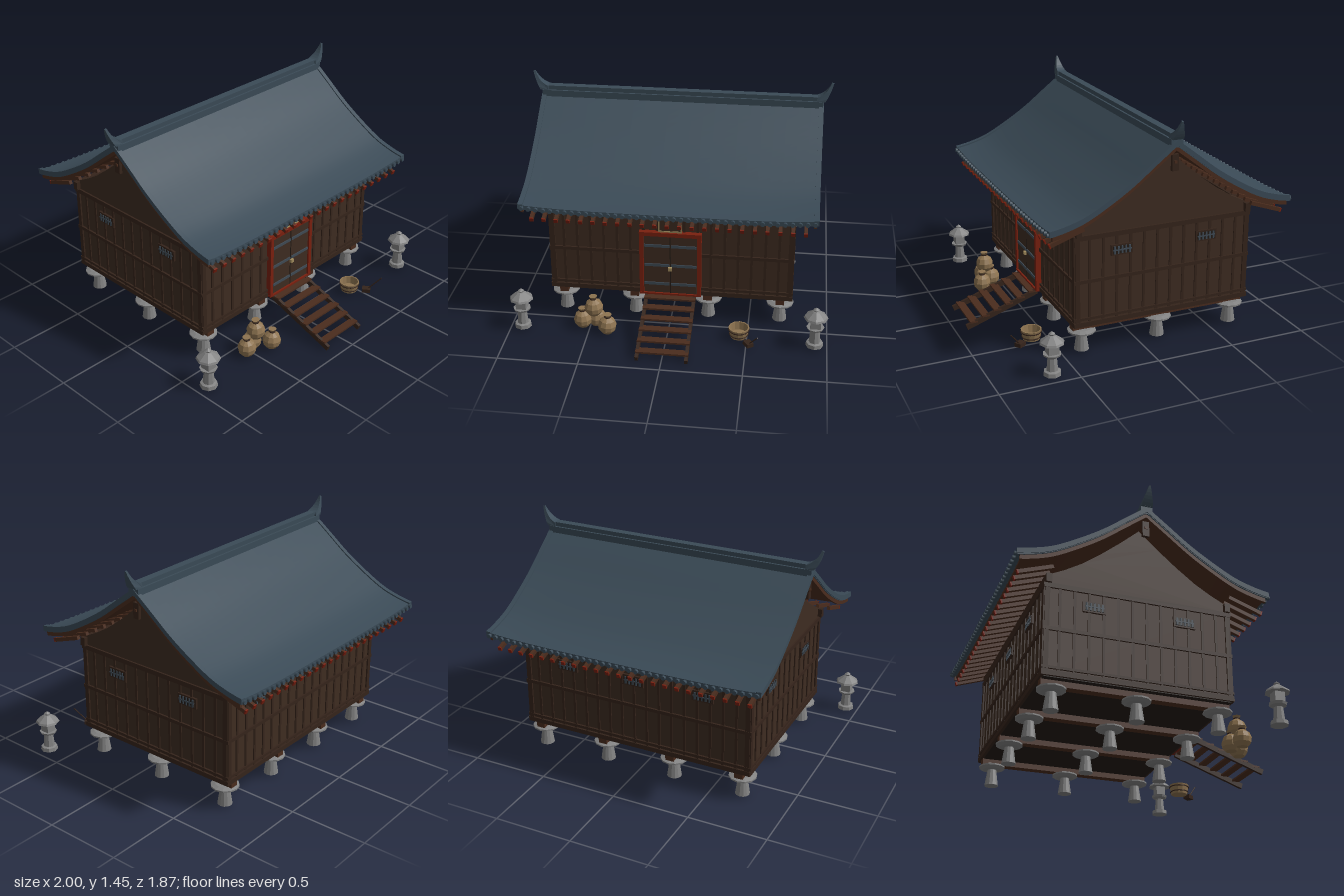
import * as THREE from 'three';

const ZC = -0.137; // z of the ridge line

const mat = (name, color) => {
  const m = new THREE.MeshStandardMaterial({ color });
  m.name = name;
  return m;
};

export function createModel() {
  const root = new THREE.Group();
  root.name = 'raisedStorehouse';
  const M = {
    wall: mat('brown wall', 0x3e2c21),
    trim: mat('dark brown trim', 0x35241b),
    rafter: mat('red brown rafter', 0x4a2c1d),
    floor: mat('dark floor', 0x231b15),
    tile: mat('slate blue tile', 0x3a4a56),
    red: mat('red paint', 0x7a200f),
    stone: mat('grey stone', 0x828282),
    sack: mat('tan straw', 0x8d7350),
    brass: mat('pale brass', 0xa08a5c),
    iron: mat('blue grey iron', 0x3f4a54),
  };

  const add = (parent, name, geo, m, x = 0, y = 0, z = 0) => {
    const mesh = new THREE.Mesh(geo, m);
    mesh.name = name;
    mesh.position.set(x, y, z);
    parent.add(mesh);
    return mesh;
  };
  const box = (parent, name, m, w, h, d, x, y, z) => add(parent, name, new THREE.BoxGeometry(w, h, d), m, x, y, z);
  const group = (name, parent = root) => {
    const g = new THREE.Group();
    g.name = name;
    parent.add(g);
    return g;
  };
  // Box or cylinder stretched between two points
  const bar = (parent, name, geoOf, m, a, b) => {
    const A = new THREE.Vector3(...a), B = new THREE.Vector3(...b);
    const mesh = add(parent, name, geoOf(A.distanceTo(B)), m);
    mesh.position.copy(A).add(B).multiplyScalar(0.5);
    mesh.quaternion.setFromUnitVectors(new THREE.Vector3(0, 0, 1), B.sub(A).normalize());
    return mesh;
  };
  const lathe = (pts, n) => new THREE.LatheGeometry(pts.map(p => new THREE.Vector2(...p)), n);
  const flat = (geo) => { const g = geo.toNonIndexed(); g.computeVertexNormals(); return g; };

  // Core and floor
  const hx = 0.762, hz = 0.575;
  box(root, 'wallCore', M.wall, hx * 2, 0.575, hz * 2, 0, 0.4925, ZC);
  box(root, 'floorUnderside', M.floor, 1.52, 0.01, 1.14, 0, 0.2, ZC);

  // Wall battens, rails and windows; each wall is built facing +z
  const buildWall = (name, half, dist, rot, spacing, windows) => {
    const g = group(name);
    g.position.z = ZC;
    g.rotation.y = rot;
    const n = Math.round(2 * half / spacing);
    for (let i = 1; i < n; i++) box(g, 'batten', M.trim, 0.016, 0.56, 0.014, -half + i * 2 * half / n, 0.49, dist);
    for (const s of [-1, 1]) box(g, 'cornerPost', M.trim, 0.03, 0.57, 0.02, s * (half - 0.012), 0.49, dist);
    for (const [y, h] of [[0.215, 0.03], [0.25, 0.016], [0.49, 0.022], [0.765, 0.03]])
      box(g, 'rail', M.trim, 2 * half + 0.02, h, 0.024, 0, y, dist);
    for (const x of windows) {
      box(g, 'windowFrame', M.trim, 0.14, 0.068, 0.028, x, 0.662, dist);
      box(g, 'windowOpening', M.floor, 0.118, 0.048, 0.006, x, 0.662, dist + 0.013);
      for (let i = -2; i <= 2; i++) box(g, 'windowBar', M.iron, 0.01, 0.048, 0.006, x + i * 0.024, 0.662, dist + 0.017);
      box(g, 'windowBar', M.iron, 0.118, 0.008, 0.006, x, 0.662, dist + 0.017);
    }
  };
  buildWall('frontWall', hx, hz, 0, 0.083, []);
  buildWall('backWall', hx, hz, Math.PI, 0.083, [-0.46, 0, 0.46]);
  buildWall('leftWall', hz, hx, Math.PI / 2, 0.087, [-0.281, 0.281]);
  buildWall('rightWall', hz, hx, -Math.PI / 2, 0.087, [-0.281, 0.281]);

  // Stone footings with floor beams
  const footing = lathe([[0, 0.02], [0.046, 0.02], [0.03, 0.128], [0.06, 0.13], [0.087, 0.142], [0.087, 0.152], [0.06, 0.162], [0, 0.162]], 12);
  for (const x of [-0.695, -0.235, 0.235, 0.695]) {
    box(root, 'floorBeam', M.rafter, 0.055, 0.045, 1.15, x, 0.182, ZC);
    for (const z of [0.372, -0.135, -0.642]) add(root, 'footing', flat(footing), M.stone, x, 0, z);
  }

  // Curved roof: boxes bent along the slope profile
  const prof = [[0, 1.322], [0.13, 1.222], [0.27, 1.112], [0.42, 1.013], [0.57, 0.928], [0.7, 0.882], [0.795, 0.86]];
  const slope = (d) => {
    let i = 0;
    while (i < prof.length - 2 && d > prof[i + 1][0]) i++;
    const p = (k) => prof[Math.max(0, Math.min(prof.length - 1, k))];
    const [a, b] = [p(i), p(i + 1)], t = (d - a[0]) / (b[0] - a[0]);
    const grad = (k) => (p(k + 1)[1] - p(k - 1)[1]) / (p(k + 1)[0] - p(k - 1)[0]);
    const w = b[0] - a[0], t2 = t * t, t3 = t2 * t;
    return (2 * t3 - 3 * t2 + 1) * a[1] + (t3 - 2 * t2 + t) * w * grad(i) + (3 * t2 - 2 * t3) * b[1] + (t3 - t2) * w * grad(i + 1);
  };
  const lift = (x, d) => 0.02 * Math.pow(Math.min(1, Math.abs(x) / 0.9), 4) * Math.pow(d / 0.795, 2);
  const roof = group('roof');
  roof.position.z = ZC;
  const roofLayer = (name, m, width, thick, dMax, x, offset) => {
    const g = new THREE.BoxGeometry(width, thick, dMax * 2, width > 0.5 ? 24 : 1, 1, 40);
    const p = g.attributes.position;
    for (let i = 0; i < p.count; i++) {
      const X = p.getX(i) + x, d = Math.abs(p.getZ(i));
      p.setXYZ(i, X, p.getY(i) + offset + slope(d) + lift(X, d), p.getZ(i));
    }
    g.computeVertexNormals();
    add(roof, name, g, m);
  };
  roofLayer('tileSurface', M.tile, 1.8, 0.03, 0.78, 0, -0.015);
  roofLayer('roofBoards', M.rafter, 1.77, 0.018, 0.755, 0, -0.039);
  for (const s of [-1, 1]) {
    roofLayer('vergeTiles', M.tile, 0.03, 0.034, 0.785, s * 0.89, -0.008);
    roofLayer('bargeBoard', M.rafter, 0.018, 0.03, 0.765, s * 0.884, -0.042);
    box(roof, 'gablePendant', M.trim, 0.02, 0.1, 0.042, s * 0.875, 1.19, 0);
    box(roof, 'pendantStud', M.rafter, 0.03, 0.016, 0.016, s * 0.875, 1.195, 0);
  }

  // Round tile ends along both eaves
  const tileEnd = new THREE.CylinderGeometry(0.014, 0.014, 0.06, 8).rotateX(Math.PI / 2);
  for (let i = -20; i <= 20; i++) for (const s of [-1, 1]) {
    const x = i * 0.0441;
    add(roof, 'eaveTileEnd', tileEnd, M.tile, x, 0.847 + lift(x, 0.78), s * 0.766);
  }

  // Rafters with red tips, and wall plates
  for (const s of [-1, 1]) {
    for (let i = -11; i <= 11; i++) {
      const x = i * 0.0755;
      bar(roof, 'rafter', (l) => new THREE.BoxGeometry(0.022, 0.024, l), M.rafter, [x, 0.85, s * 0.55], [x, 0.778, s * 0.757]);
      bar(roof, 'rafterTip', (l) => new THREE.BoxGeometry(0.024, 0.026, l), M.red, [x, 0.7783, s * 0.756], [x, 0.7755, s * 0.764]);
    }
    box(roof, 'wallPlate', M.trim, 1.58, 0.055, 0.035, 0, 0.805, s * 0.56);
  }

  // Gable ends, concave along the roof line
  const edge = [[0.56, 0.835], [0.46, 0.885], [0.36, 0.945], [0.24, 1.035], [0.12, 1.135]];
  const gable = new THREE.Shape();
  gable.moveTo(-0.575, 0.775);
  gable.lineTo(0.575, 0.775);
  edge.forEach(([d, y]) => gable.lineTo(d, y));
  gable.lineTo(0, 1.243);
  [...edge].reverse().forEach(([d, y]) => gable.lineTo(-d, y));
  const gableGeo = new THREE.ExtrudeGeometry(gable, { depth: 0.03, bevelEnabled: false }).translate(0, 0, -0.015).rotateY(Math.PI / 2);
  for (const s of [-1, 1]) add(roof, 'gableWall', gableGeo, M.wall, s * 0.748, 0, 0);

  // Ridge and its upturned horns
  box(roof, 'ridgeBase', M.tile, 1.8, 0.05, 0.075, 0, 1.31, 0);
  box(roof, 'ridgeCap', M.tile, 1.82, 0.028, 0.05, 0, 1.348, 0);
  const horn = new THREE.Shape();
  horn.moveTo(0.86, 1.335);
  horn.lineTo(0.912, 1.335);
  horn.quadraticCurveTo(0.945, 1.39, 0.96, 1.45);
  horn.lineTo(0.948, 1.455);
  horn.quadraticCurveTo(0.92, 1.38, 0.86, 1.36);
  const hornGeo = new THREE.ExtrudeGeometry(horn, { depth: 0.07, bevelEnabled: false, curveSegments: 6 }).translate(0, 0, -0.035);
  const hp = hornGeo.attributes.position;
  for (let i = 0; i < hp.count; i++) hp.setZ(i, hp.getZ(i) * Math.min(1, 0.1 + (1.455 - hp.getY(i)) / 0.12));
  hornGeo.computeVertexNormals();
  add(roof, 'ridgeHorn', hornGeo, M.tile);
  add(roof, 'ridgeHorn', hornGeo, M.tile).rotation.y = Math.PI;

  // Door with red frame, iron straps, lock and blank plaque
  const door = group('door');
  const dz = 0.452;
  for (const s of [-1, 1]) {
    box(door, 'doorJamb', M.red, 0.025, 0.44, 0.04, s * 0.182, 0.425, dz);
    box(door, 'doorLeaf', M.wall, 0.166, 0.41, 0.02, s * 0.085, 0.415, dz);
    for (const y of [0.28, 0.415, 0.553]) box(door, 'ironStrap', M.iron, 0.158, 0.018, 0.008, s * 0.085, y, dz + 0.012);
  }
  box(door, 'doorLintel', M.red, 0.39, 0.026, 0.042, 0, 0.637, dz);
  box(door, 'doorSill', M.red, 0.39, 0.012, 0.042, 0, 0.208, dz);
  box(door, 'doorSeam', M.floor, 0.006, 0.41, 0.004, 0, 0.415, dz + 0.011);
  box(door, 'lock', M.brass, 0.024, 0.022, 0.016, 0, 0.397, dz + 0.024);
  const plaque = group('plaque');
  plaque.position.set(0, 0.73, 0.463);
  plaque.rotation.x = 0.06;
  box(plaque, 'plaqueBoard', M.wall, 0.14, 0.14, 0.012, 0, 0, 0);
  for (const s of [-1, 1]) {
    box(plaque, 'plaqueFrame', M.brass, 0.009, 0.15, 0.02, s * 0.069, 0, 0);
    box(plaque, 'plaqueFrame', M.brass, 0.147, 0.009, 0.02, 0, s * 0.071, 0);
  }

  // Open stair
  const stair = group('stair');
  for (const s of [-1, 1])
    bar(stair, 'stringer', (l) => new THREE.BoxGeometry(0.02, 0.034, l), M.trim, [s * 0.152, 0.022, 0.928], [s * 0.152, 0.19, 0.455]);
  for (let i = 0; i < 6; i++) {
    const t = (i + 0.6) / 6;
    box(stair, 'tread', M.rafter, 0.325, 0.012, 0.05, 0, 0.036 + t * 0.168, 0.928 - t * 0.473);
  }

  // Stone lanterns
  const lanternBase = lathe([[0, 0.02], [0.055, 0.02], [0.052, 0.045], [0.036, 0.05], [0.029, 0.13], [0.05, 0.142], [0.056, 0.156], [0, 0.158]], 8);
  const lanternTop = lathe([[0, 0.222], [0.076, 0.222], [0.07, 0.234], [0.024, 0.268], [0.016, 0.272], [0.02, 0.28], [0, 0.295]], 8);
  for (const s of [-1, 1]) {
    const g = group('stoneLantern');
    g.position.set(s * 0.922, 0, 0.65);
    add(g, 'lanternBase', flat(lanternBase), M.stone);
    box(g, 'lanternChamber', M.stone, 0.064, 0.068, 0.064, 0, 0.189, 0);
    add(g, 'lanternRoof', flat(lanternTop), M.stone);
  }

  // Tied straw sacks
  const sackGeo = lathe([[0, 0], [0.035, 0.004], [0.055, 0.03], [0.059, 0.06], [0.046, 0.092], [0.02, 0.11], [0.015, 0.118], [0.026, 0.134], [0, 0.134]], 10);
  const tie = new THREE.TorusGeometry(0.018, 0.005, 5, 10).rotateX(Math.PI / 2);
  for (const [x, y, z, tilt] of [[-0.54, 0.015, 0.6, 0.05], [-0.38, 0.015, 0.655, -0.05], [-0.46, 0.01, 0.565, 0], [-0.467, 0.11, 0.605, 0.04]]) {
    const g = group('sack');
    g.position.set(x, y, z);
    g.rotation.z = tilt;
    add(g, 'sackBody', flat(sackGeo), M.sack);
    add(g, 'sackTie', tie, M.trim, 0, 0.116, 0);
  }

  // Wooden tub and long-handled scoop
  const tub = group('tub');
  tub.position.set(0.45, 0, 0.605);
  add(tub, 'tubWall', flat(lathe([[0, 0.02], [0.054, 0.02], [0.066, 0.085], [0.058, 0.085], [0.05, 0.035], [0, 0.035]], 12)), M.sack);
  for (const [r, y] of [[0.058, 0.037], [0.064, 0.07]])
    add(tub, 'tubHoop', new THREE.TorusGeometry(r, 0.004, 5, 16).rotateX(Math.PI / 2), M.trim, 0, y, 0);
  const scoop = group('scoop');
  box(scoop, 'scoopHead', M.trim, 0.045, 0.026, 0.055, 0.515, 0.031, 0.7).rotation.y = 0.6;
  bar(scoop, 'scoopHandle', (l) => new THREE.CylinderGeometry(0.004, 0.004, l, 6).rotateX(Math.PI / 2), M.trim, [0.52, 0.035, 0.705], [0.573, 0.13, 0.778]);

  return root;
}
